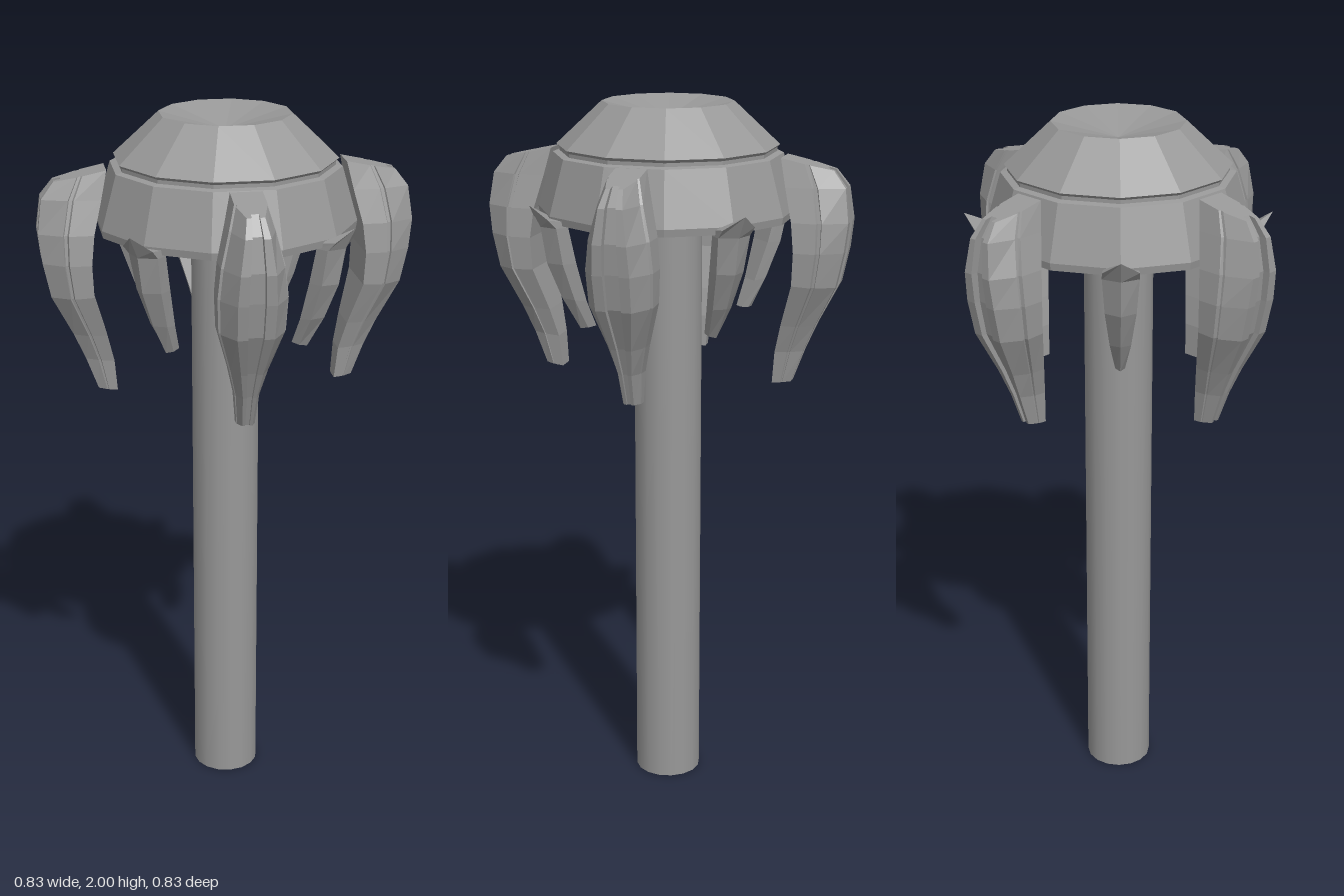
import * as THREE from 'three';

const flat = new THREE.MeshStandardMaterial({ color: 0x989898, flatShading: true });
const smooth = new THREE.MeshStandardMaterial({ color: 0x989898, side: THREE.DoubleSide });

// Lofts a section of [depth 0..1, width -1..1] through stations [yIn, rIn, yOut, rOut, halfWidth],
// listed bottom to top. The radial direction is +x; peak lowers the sides of the top station.
function loft(half, stations, peak = 0) {
  const mirrored = half.filter(([, t]) => t > 0).reverse().map(([s, t]) => [s, -t]);
  const section = [...half, ...mirrored];
  const n = section.length;
  const pos = [], idx = [];
  stations.forEach(([yIn, rIn, yOut, rOut, w], k) => {
    const drop = k === stations.length - 1 ? peak : 0;
    for (const [s, t] of section) {
      pos.push(rIn + (rOut - rIn) * s, yIn + (yOut - yIn) * s - drop * Math.abs(t), w * t);
    }
  });
  const last = (stations.length - 1) * n;
  for (let i = 0; i < stations.length - 1; i++) {
    for (let j = 0; j < n; j++) {
      const a = i * n + j, b = i * n + (j + 1) % n;
      idx.push(a, b, b + n, a, b + n, a + n);
    }
  }
  // End caps
  const contour = section.map(([s, t]) => new THREE.Vector2(s, -t));
  for (const [a, b, c] of THREE.ShapeUtils.triangulateShape(contour, [])) {
    idx.push(last + a, last + b, last + c, c, b, a);
  }
  const g = new THREE.BufferGeometry();
  g.setAttribute('position', new THREE.Float32BufferAttribute(pos, 3));
  g.setIndex(idx);
  const out = g.toNonIndexed();
  out.computeVertexNormals();
  return out;
}

export function createModel() {
  const model = new THREE.Group();
  const add = (name, geometry, material) => {
    const mesh = new THREE.Mesh(geometry, material);
    mesh.name = name;
    model.add(mesh);
    return mesh;
  };

  // Hollow pole
  add('pole', new THREE.CylinderGeometry(0.095, 0.095, 1.82, 16, 1, true), smooth).position.y = 0.91;

  // Twelve-sided cap: recessed underside, skirt, groove, dome and dished top
  const profile = [
    [0.09, 1.81], [0.14, 1.81], [0.16, 1.74], [0.33, 1.715], [0.335, 1.695],
    [0.355, 1.695], [0.358, 1.715], [0.315, 1.862], [0.297, 1.866],
    [0.297, 1.876], [0.305, 1.884], [0.18, 2], [0, 1.955],
  ].map(([r, y]) => new THREE.Vector2(r, y));
  add('cap', new THREE.LatheGeometry(profile, 12), flat);

  // Large claws on the diagonals: full-width inner plate, side seam, tapered spine with a groove.
  // The half width follows the inner radius so the inner side edges hang straight down.
  const clawStations = [
    [1.24, 0.308, 1.245, 0.36],
    [1.33, 0.316, 1.335, 0.393],
    [1.41, 0.335, 1.41, 0.425],
    [1.53, 0.37, 1.525, 0.483],
    [1.62, 0.374, 1.62, 0.503],
    [1.7, 0.365, 1.7, 0.512],
    [1.79, 0.342, 1.79, 0.5],
    [1.865, 0.325, 1.835, 0.465],
  ].map(([yIn, rIn, yOut, rOut]) => [yIn, rIn, yOut, rOut, rIn - 0.283]);
  const clawGeo = loft(
    [[0, 1], [0.46, 1], [0.48, 0.88], [0.54, 0.88], [0.56, 0.95], [1, 0.55], [1, 0.24], [0.86, 0.24]],
    clawStations);

  // Small pointed claws on the axes, with an outer ridge and a peaked top
  const fangGeo = loft(
    [[0, 0.95], [0.6, 1], [1, 0]],
    [
      [1.405, 0.23, 1.4, 0.272, 0.013],
      [1.48, 0.265, 1.49, 0.325, 0.028],
      [1.59, 0.3, 1.59, 0.368, 0.041],
      [1.69, 0.325, 1.69, 0.385, 0.048],
      [1.735, 0.335, 1.75, 0.416, 0.048],
    ], 0.03);

  for (let i = 0; i < 4; i++) {
    add('largeClaw', clawGeo, flat).rotation.y = (i + 0.5) * Math.PI / 2;
    add('smallClaw', fangGeo, flat).rotation.y = i * Math.PI / 2;
  }
  return model;
}
